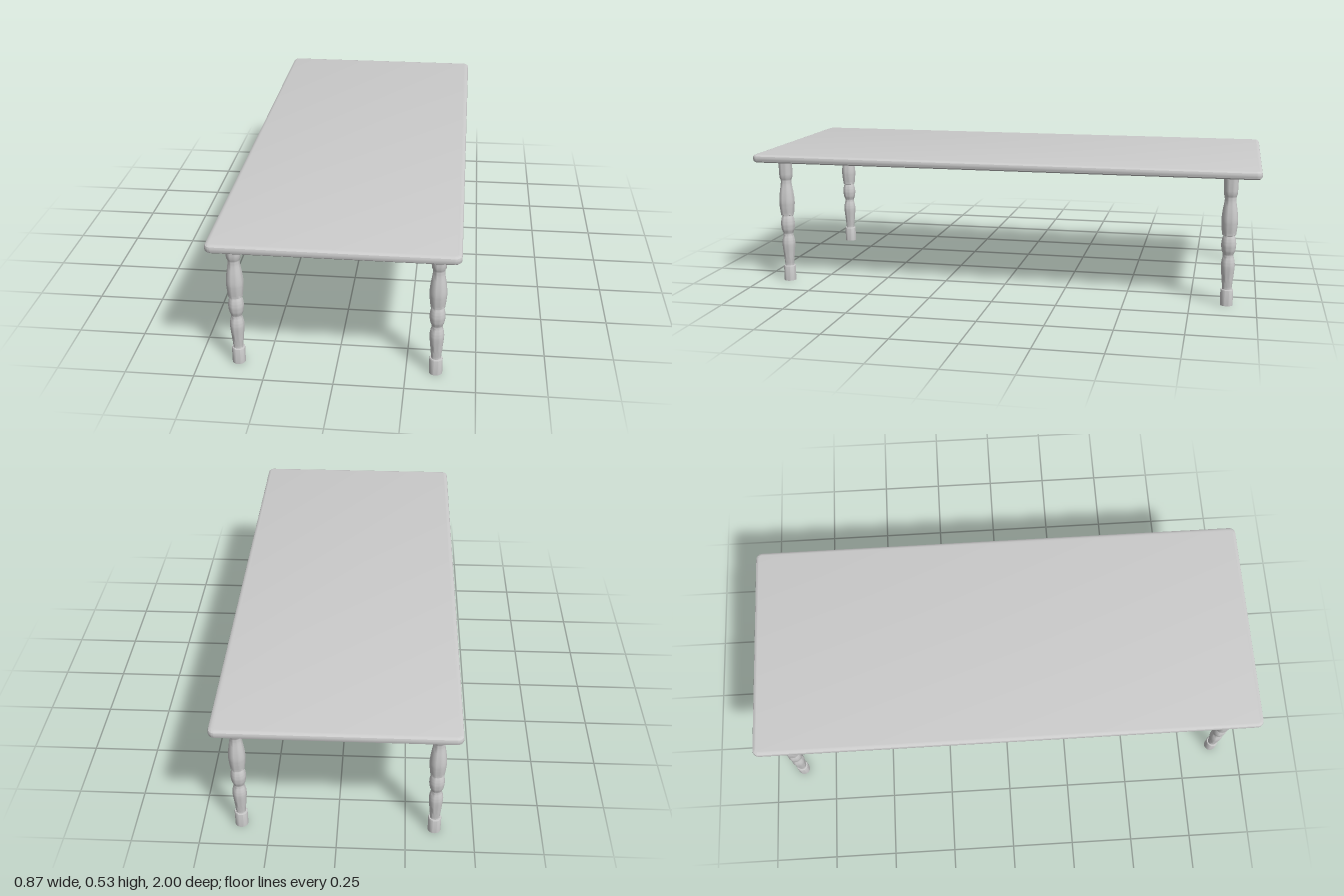
import * as THREE from 'three';
import { toCreasedNormals } from 'three/addons/utils/BufferGeometryUtils.js';

const material = new THREE.MeshStandardMaterial({ color: 0xcccccc });

// Rectangle with small rounded corners, centred on the origin
function roundedRect(hx, hz, r) {
  const s = new THREE.Shape();
  s.absarc(hx - r, hz - r, r, 0, Math.PI / 2);
  s.absarc(-hx + r, hz - r, r, Math.PI / 2, Math.PI);
  s.absarc(-hx + r, -hz + r, r, Math.PI, Math.PI * 1.5);
  s.absarc(hx - r, -hz + r, r, Math.PI * 1.5, Math.PI * 2);
  s.closePath();
  return s;
}

// Smooth curve through [radius, height] points
function turned(points, steps) {
  return new THREE.SplineCurve(points.map(([r, y]) => new THREE.Vector2(r, y))).getPoints(steps);
}

function legGeometry() {
  const v = (r, y) => new THREE.Vector2(r, y);
  const profile = [
    // foot block
    v(0, 0), v(0.024, 0), v(0.024, 0.06), v(0.022, 0.063), v(0.018, 0.063),
    // two lower bulges
    ...turned([[0.0178, 0.065], [0.022, 0.108], [0.026, 0.152], [0.024, 0.175], [0.0195, 0.196],
      [0.025, 0.212], [0.028, 0.235], [0.026, 0.256], [0.021, 0.273]], 28),
    // large upper bulge
    ...turned([[0.026, 0.275], [0.029, 0.3], [0.031, 0.33], [0.028, 0.365], [0.0225, 0.4], [0.021, 0.418]], 18),
    // collar and top block
    v(0.0225, 0.424), v(0.0255, 0.43), v(0.0265, 0.445), v(0.0275, 0.5), v(0, 0.5),
  ];
  return toCreasedNormals(new THREE.LatheGeometry(profile, 24), 0.6);
}

export function createModel() {
  const table = new THREE.Group();
  table.name = 'table';

  // Top board with a softened edge all round
  const bevel = 0.014;
  const board = new THREE.ExtrudeGeometry(roundedRect(0.434 - bevel, 1 - bevel, 0.012), {
    depth: 0.008, bevelEnabled: true, bevelThickness: 0.012, bevelSize: bevel, bevelSegments: 3, curveSegments: 4,
  });
  board.rotateX(-Math.PI / 2);
  board.translate(0, 0.51, 0);
  const top = new THREE.Mesh(toCreasedNormals(board, 0.5), material);
  top.name = 'tabletop';
  table.add(top);

  // Four turned legs
  const leg = legGeometry();
  for (const [side, x] of [['Left', 0.357], ['Right', -0.357]]) {
    for (const [end, z] of [['front', 0.888], ['back', -0.888]]) {
      const mesh = new THREE.Mesh(leg, material);
      mesh.name = `${end}${side}Leg`;
      mesh.position.set(x, 0, z);
      table.add(mesh);
    }
  }
  return table;
}
